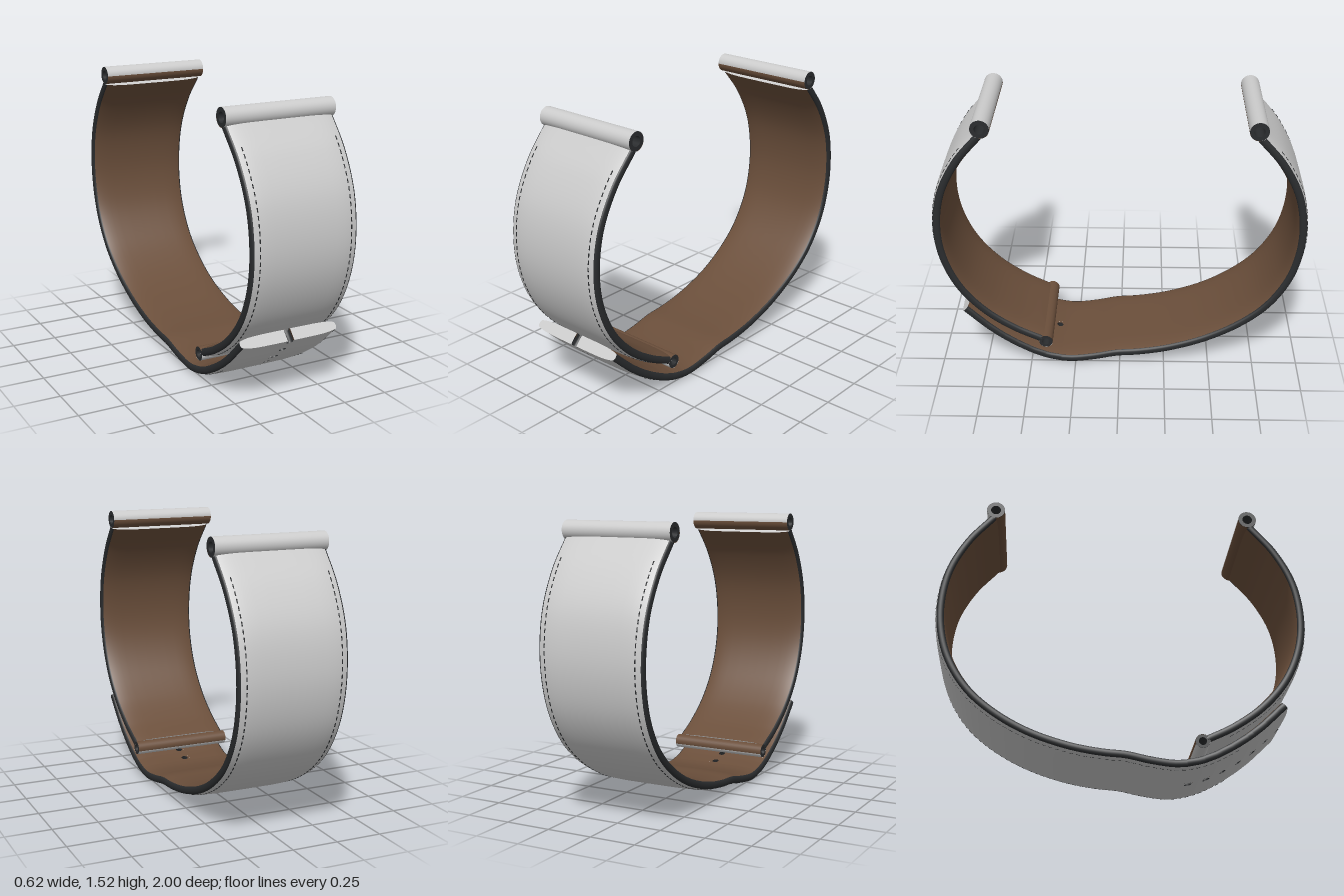
import * as THREE from 'three';
import { mergeVertices, mergeGeometries } from 'three/addons/utils/BufferGeometryUtils.js';

const mat = (color) => new THREE.MeshStandardMaterial({ color, side: THREE.DoubleSide });
const leather = mat(0xcccccc), lining = mat(0x6b4f3b), edgePaint = mat(0x2a2c2e);
const EDGE = 0.012, HALF = 0.02, CROWN = 0.012;
const COLS = [-1, -0.97, -0.92, -0.85, -0.75, -0.6, -0.35, -0.1, 0.1, 0.35, 0.6, 0.75, 0.85, 0.92, 0.97, 1];

const named = (geometry, material, name) => {
  const mesh = new THREE.Mesh(geometry, material);
  mesh.name = name;
  return mesh;
};

// Smooth surface from a list of quads
function quadsToGeometry(quads) {
  const pos = [];
  for (const [a, b, c, d] of quads) for (const p of [a, b, c, a, c, d]) pos.push(p.x, p.y, p.z);
  const g = new THREE.BufferGeometry();
  g.setAttribute('position', new THREE.Float32BufferAttribute(pos, 3));
  const merged = mergeVertices(g, 1e-5);
  merged.computeVertexNormals();
  return merged;
}

function gridQuads(fn, us, vs, skip = () => false) {
  const quads = [];
  for (let i = 0; i < us.length - 1; i++)
    for (let j = 0; j < vs.length - 1; j++) {
      const [a, b, c, d] = [us[i], us[i + 1], vs[j], vs[j + 1]];
      if (!skip((a + b) / 2, (c + d) / 2)) quads.push([fn(a, c), fn(b, c), fn(b, d), fn(a, d)]);
    }
  return quads;
}

// Half thickness: crowned for |t| < 1, rounded edge for 1 < |t| < 2
function halfThickness(t) {
  const a = Math.abs(t);
  return a <= 1 ? HALF + CROWN * (1 - a ** 6) : HALF * Math.sqrt(Math.max(0, 1 - (a - 1) ** 2));
}

// One strap swept along a side profile of [z, y] points
function makeStrap(name, profile, side, widthAt, holeCount, stitchRange) {
  const group = new THREE.Group();
  group.name = name;
  const curve = new THREE.CatmullRomCurve3(profile.map(([z, y]) => new THREE.Vector3(0, y, z)));
  curve.arcLengthDivisions = 800;
  const L = curve.getLength();
  const point = (u, t, h) => {
    const uc = Math.min(u, 1), p = curve.getPointAt(uc), d = curve.getTangentAt(uc);
    const a = Math.abs(t), w = widthAt(uc) - EDGE;
    const x = Math.sign(t) * (a <= 1 ? a * w : w + (a - 1) * EDGE);
    return new THREE.Vector3(x, p.y - d.z * side * h, p.z + d.y * side * h);
  };

  // Hole positions; the last one opens through the tip
  const holes = Array.from({ length: holeCount }, (_, k) => 1 - (0.015 + 0.097 * k) / L);
  const win = 0.03 / L, rad = 0.019 / L;
  const inWindow = (u) => holes.some((c) => Math.abs(u - c) < win - 1e-6);
  const us = [];
  for (let i = 0; i <= 100; i++) if (!inWindow(i / 100)) us.push(i / 100);
  for (const c of holes) us.push(c - win, Math.min(1, c + win));
  const rows = [...new Set(us)].sort((a, b) => a - b);
  const N = 16;
  const ring = (c, k, square) => {
    const th = (k / N) * Math.PI * 2, co = Math.cos(th), si = Math.sin(th);
    const m = square ? 1 / Math.max(Math.abs(co), Math.abs(si)) : 1;
    return [Math.min(1, c + si * m * (square ? win : rad)), co * m * (square ? 0.1 : 0.07)];
  };

  // Outer leather and inner lining, with punched holes
  for (const s of [1, -1]) {
    const surf = (u, t) => point(u, t, s * halfThickness(t));
    const quads = gridQuads(surf, rows, COLS, (u, t) => Math.abs(t) < 0.05 && inWindow(u));
    for (const c of holes)
      for (let k = 0; k < N; k++)
        quads.push([[k, false], [k + 1, false], [k + 1, true], [k, true]].map(([i, q]) => surf(...ring(c, i, q))));
    group.add(named(quadsToGeometry(quads), s > 0 ? leather : lining, s > 0 ? 'outerLeather' : 'innerLining'));
  }

  // Hole walls
  if (holeCount) {
    const walls = [];
    for (const c of holes)
      for (let k = 0; k < N; k++) {
        const [u0, t0] = ring(c, k, false), [u1, t1] = ring(c, k + 1, false);
        if (u0 === 1 && u1 === 1) continue;
        const h0 = halfThickness(t0), h1 = halfThickness(t1);
        walls.push([point(u0, t0, h0), point(u1, t1, h1), point(u1, t1, -h1), point(u0, t0, -h0)]);
      }
    group.add(named(quadsToGeometry(walls), edgePaint, 'holeWalls'));
  }

  // Rounded painted edges
  const arc = Array.from({ length: 9 }, (_, i) => (i / 8 - 0.5) * Math.PI);
  for (const m of [1, -1]) {
    const surf = (u, a) => point(u, m * (1 + Math.max(Math.cos(a), 1e-6)), HALF * Math.sin(a));
    group.add(named(quadsToGeometry(gridQuads(surf, rows, arc)), edgePaint, m > 0 ? 'leftEdge' : 'rightEdge'));
  }

  // End faces
  for (const u of [0, 1]) {
    const start = u === 1 && holeCount ? [0.07, 0.1] : [0, 0.1];
    const ts = [...start, 0.35, 0.6, 0.75, 0.85, 0.92, 0.97, 1, 1.3, 1.6, 1.85, 1.96, 2];
    const quads = [];
    for (const m of [1, -1])
      quads.push(...gridQuads((t, s) => point(u, m * t, s * halfThickness(t)), ts, m > 0 ? [-1, 1] : [1, -1]));
    group.add(named(quadsToGeometry(quads), leather, u ? 'tipFace' : 'topFace'));
  }

  // Stitching along both margins
  const dashes = [];
  for (let u = stitchRange[0]; u < stitchRange[1]; u += 0.036 / L)
    for (const t of [-0.9, 0.9]) {
      const d = curve.getTangentAt(u), p = point(u, t, halfThickness(t));
      dashes.push(new THREE.BoxGeometry(0.005, 0.004, 0.022).rotateX(-Math.atan2(d.y, d.z)).translate(p.x, p.y, p.z));
    }
  group.add(named(mergeGeometries(dashes), edgePaint, 'stitching'));
  return group;
}

// Hollow pin loop across the strap; leather and lining each cover an arc (degrees from +z towards +y)
function makeLoop(name, z, y, r, bore, half, liningArc) {
  const group = new THREE.Group();
  group.name = name;
  const shape = new THREE.Shape().absarc(0, 0, r - 0.001, 0, Math.PI * 2);
  shape.holes.push(new THREE.Path().absarc(0, 0, bore, 0, Math.PI * 2, true));
  const core = new THREE.ExtrudeGeometry(shape, { depth: 2 * half, bevelEnabled: false, curveSegments: 32 });
  group.add(named(core.translate(0, 0, -half).rotateY(Math.PI / 2), edgePaint, 'loopCore'));
  const skin = (from, to, material, label) => {
    const rad = Math.PI / 180;
    const g = new THREE.CylinderGeometry(r, r, 2 * half, 28, 1, true, from * rad, (to - from) * rad);
    group.add(named(g.rotateZ(Math.PI / 2), material, label));
  };
  skin(liningArc[0], liningArc[1], lining, 'loopLining');
  skin(liningArc[1], liningArc[0] + 360, leather, 'loopLeather');
  group.position.set(0, y, z);
  return group;
}

export function createModel() {
  const model = new THREE.Group();
  model.name = 'watchStrap';
  const shortProfile = [[0.713, 1.432], [0.84, 1.28], [0.935, 1.09], [0.968, 0.88], [0.945, 0.69],
    [0.865, 0.505], [0.735, 0.352], [0.58, 0.24], [0.437, 0.168]];
  const longProfile = [[-0.713, 1.432], [-0.84, 1.28], [-0.935, 1.09], [-0.968, 0.88], [-0.95, 0.7],
    [-0.9, 0.555], [-0.8, 0.405], [-0.66, 0.285], [-0.48, 0.185], [-0.27, 0.115], [-0.1, 0.085],
    [0.02, 0.075], [0.15, 0.048], [0.29, 0.034], [0.42, 0.06], [0.56, 0.128], [0.7, 0.225], [0.852, 0.367]];
  model.add(
    makeStrap('shortStrap', shortProfile, -1, (u) => 0.308 - 0.026 * u, 0, [0.09, 0.93]),
    makeStrap('longStrap', longProfile, 1, (u) => 0.308 - 0.026 * Math.min(1, 2 * u), 7, [0.05, 0.89]),
    makeLoop('frontLugLoop', 0.702, 1.475, 0.05, 0.027, 0.309, [180, 275]),
    makeLoop('backLugLoop', -0.702, 1.475, 0.05, 0.027, 0.309, [-95, 0]),
    makeLoop('buckleLoop', 0.413, 0.155, 0.038, 0.021, 0.281, [27, 200]),
  );
  return model;
}
